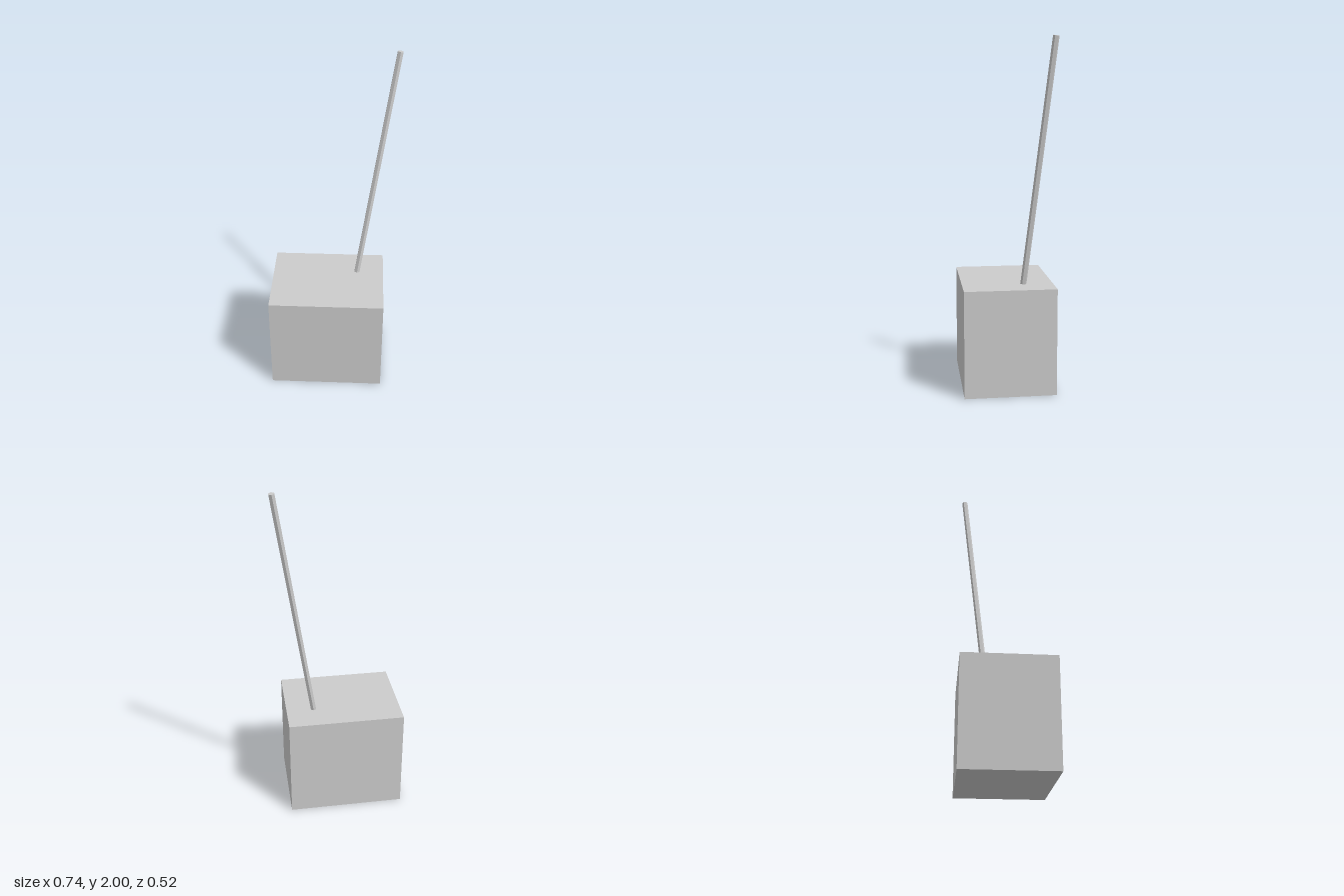
import * as THREE from 'three';

export function createModel() {
  const group = new THREE.Group();
  const material = new THREE.MeshStandardMaterial({ color: 0xcccccc, flatShading: true });

  // Carton body
  const carton = new THREE.Mesh(new THREE.BoxGeometry(0.675, 0.615, 0.524), material);
  carton.name = 'carton';
  carton.position.set(-0.0325, 0.3075, 0);
  group.add(carton);

  // Six-sided straw, leaning to the back left and set a little way into the carton
  const top = new THREE.Vector3(0.352, 1.997, -0.232);
  const entry = new THREE.Vector3(0.144, 0.615, -0.0915);
  const bottom = entry.clone().lerp(top, -0.03);
  const axis = top.clone().sub(bottom);
  const straw = new THREE.Mesh(new THREE.CylinderGeometry(0.0178, 0.0178, axis.length(), 6), material);
  straw.name = 'straw';
  straw.position.copy(bottom).lerp(top, 0.5);
  straw.quaternion.setFromUnitVectors(new THREE.Vector3(0, 1, 0), axis.normalize());
  group.add(straw);

  return group;
}
